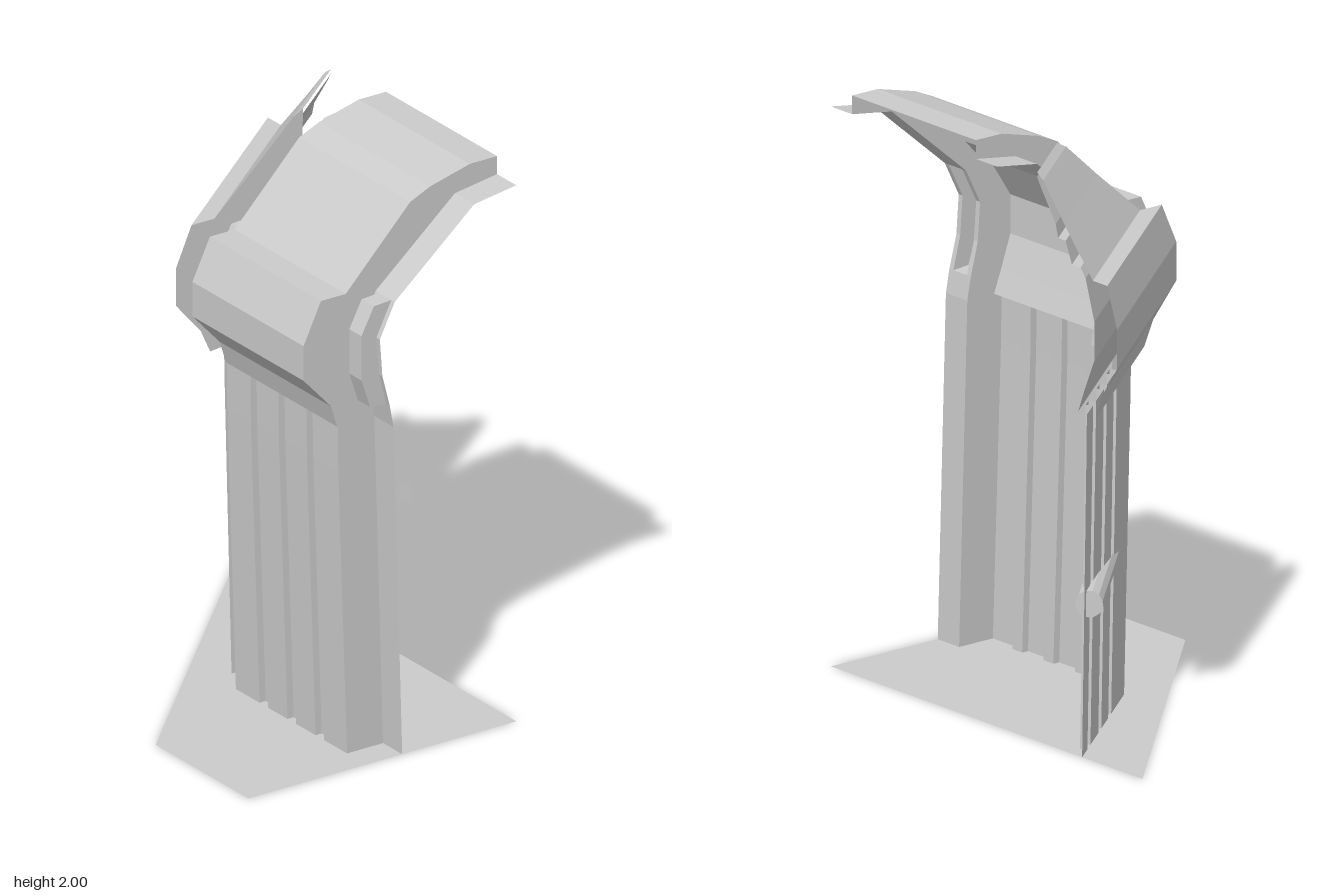
import * as THREE from 'three';

const mat = new THREE.MeshStandardMaterial({ color: 0xcccccc, flatShading: true, side: THREE.DoubleSide });

// Profiles are [depth, height]
const RIB = [[-0.08, 0], [-0.045, 1.19], [-0.03, 1.27], [0, 1.385], [0.01, 1.52], [-0.05, 1.64], [-0.37, 1.91], [-0.54, 1.935]];
const SLOT = [[-0.03, 1.27], [0.035, 1.275], [0.07, 1.38], [0.07, 1.54], [0.02, 1.635], [-0.05, 1.64]];

// Straight bay runs along x; its depth axis is z
const straight = {
  name: 'straight',
  lower: [[0.065, 0], [0.1, 1.03], [0.102, 1.19]],
  shell: [[0.105, 1.19], [0.13, 1.27], [0.24, 1.39], [0.24, 1.515], [0.17, 1.66], [0.07, 1.66],
    [-0.19, 1.925], [-0.27, 1.96], [-0.43, 2], [-0.54, 2]],
  liner: [[0.07, 1.19], [0.1, 1.27], [0.14, 1.385], [0.14, 1.52], [0.05, 1.66], [0.025, 1.69], [-0.005, 1.69],
    [-0.075, 1.765], [-0.1, 1.765], [-0.11, 1.81], [-0.22, 1.915], [-0.28, 1.945]],
  grooves: [0.19, 0.35, 0.51],
  range: () => [0.055, 0.69],
  at: (s, n, y) => [s, y, n],
};

// Angled bay is cut by the rib plane and by the back plane
const angled = {
  name: 'angled',
  lower: [[0.046, 0], [0.063, 1.03], [0.065, 1.19]],
  shell: [[0.1, 1.185], [0.124, 1.27], [0.186, 1.385], [0.186, 1.52], [0.147, 1.66], [0.089, 1.66],
    [-0.025, 1.82], [-0.11, 1.945], [-0.134, 1.965]],
  liner: [[0.03, 1.19], [0.055, 1.27], [0.095, 1.385], [0.095, 1.52], [0.06, 1.66], [0.04, 1.69], [0.005, 1.69],
    [-0.02, 1.765], [-0.05, 1.765], [-0.06, 1.81], [-0.12, 1.92], [-0.135, 1.95]],
  grooves: [0.245, 0.41, 0.59],
  range: n => [(0.055 - 0.781 * n) / 0.624, (0.54 + 0.624 * n) / 0.781],
  at: (s, n, y) => [-0.624 * s - 0.781 * n, y, -0.781 * s + 0.624 * n],
};

// Grid of nu by nv points given by fn(i, j)
function grid(nu, nv, fn) {
  const pos = [], idx = [];
  for (let j = 0; j < nv; j++) for (let i = 0; i < nu; i++) pos.push(...fn(i, j));
  for (let j = 0; j < nv - 1; j++) for (let i = 0; i < nu - 1; i++) {
    const a = j * nu + i, b = a + 1, c = a + nu, d = c + 1;
    idx.push(a, b, d, a, d, c);
  }
  const g = new THREE.BufferGeometry();
  g.setAttribute('position', new THREE.Float32BufferAttribute(pos, 3));
  g.setIndex(idx);
  g.computeVertexNormals();
  return g;
}

function add(parent, name, geo) {
  const m = new THREE.Mesh(geo, mat);
  m.name = name;
  parent.add(m);
  return m;
}

// Sheet swept along a bay
const sweep = (bay, profile) => grid(2, profile.length, (i, j) => {
  const [n, y] = profile[j];
  return bay.at(bay.range(n)[i], n, y);
});

// Flat strip of a profile between two x values
const strip = (profile, x0, x1) => grid(2, profile.length, (i, j) => [i ? x1 : x0, profile[j][1], profile[j][0]]);

// Wall lying in a plane of constant x, from a closed [z, y] outline
function sideWall(outline, x) {
  const shape = new THREE.Shape(outline.map(p => new THREE.Vector2(p[0], p[1])));
  return new THREE.ShapeGeometry(shape).rotateY(-Math.PI / 2).translate(x, 0, 0);
}

// Lower panel with vertical recessed grooves
function planks(bay) {
  const cols = [[null, 0, 0]];
  for (const g of bay.grooves) cols.push([g, 0], [g, 0.025], [g + 0.05, 0.025], [g + 0.05, 0]);
  cols.push([null, 0, 1]);
  return grid(cols.length, bay.lower.length, (i, j) => {
    const [s, depth, end] = cols[i], [n, y] = bay.lower[j];
    return bay.at(s === null ? bay.range(n)[end] : s, n - depth, y);
  });
}

function buildBay(bay, wallXs) {
  const g = new THREE.Group();
  g.name = bay.name + 'Bay';
  add(g, 'plankPanel', planks(bay));
  add(g, 'outerShell', sweep(bay, bay.shell));
  add(g, 'innerLiner', sweep(bay, bay.liner));
  // Return walls join the bay to the recessed ribs
  const edge = [...bay.lower, ...bay.shell].map(([n, y]) => {
    const p = bay.at(bay.range(n)[0], n, y);
    return [p[2], p[1]];
  });
  const inner = RIB.filter(p => bay === straight || p[0] > -0.3);
  if (bay === angled) inner.push([-0.28, 1.835]);
  for (const x of wallXs) add(g, 'returnWall', sideWall([...edge, ...inner.reverse()], x)), inner.reverse();
  return g;
}

// Rib with a slot pushed outward as a lamp recess
function buildRib(cx) {
  const g = new THREE.Group(), w = 0.055, h = 0.035;
  g.name = 'rib';
  for (const s of [-1, 1]) {
    add(g, 'ribEdge', strip(RIB, cx + s * h, cx + s * w));
    add(g, 'lampRecessSide', sideWall([...SLOT, ...RIB.slice(3, 5).reverse()], cx + s * h));
  }
  add(g, 'ribFoot', strip(RIB.slice(0, 3), cx - h, cx + h));
  add(g, 'ribTop', strip(RIB.slice(5), cx - h, cx + h));
  add(g, 'lampRecess', strip(SLOT, cx - h, cx + h));
  return g;
}

export function createModel() {
  const model = new THREE.Group();
  model.name = 'wallCorner';

  // Floor plate
  const plan = [[-0.8, -0.54], [0.8, -0.54], [0.8, 0.54], [0.27, 0.54]].map(p => new THREE.Vector2(p[0], -p[1]));
  add(model, 'floor', new THREE.ShapeGeometry(new THREE.Shape(plan)).rotateX(-Math.PI / 2));

  model.add(buildBay(straight, [0.055, 0.69]), buildBay(angled, [-0.055]));
  for (const x of [0, 0.745]) model.add(buildRib(x));

  // Hand rail along the angled bay
  const a = new THREE.Vector3(-0.03, 0.523, -0.04), b = new THREE.Vector3(-0.49, 0.523, -0.51);
  const rail = add(model, 'rail', new THREE.CylinderGeometry(0.047, 0.047, a.distanceTo(b), 12));
  rail.position.copy(a).add(b).multiplyScalar(0.5);
  rail.quaternion.setFromUnitVectors(new THREE.Vector3(0, 1, 0), b.clone().sub(a).normalize());

  return model;
}
